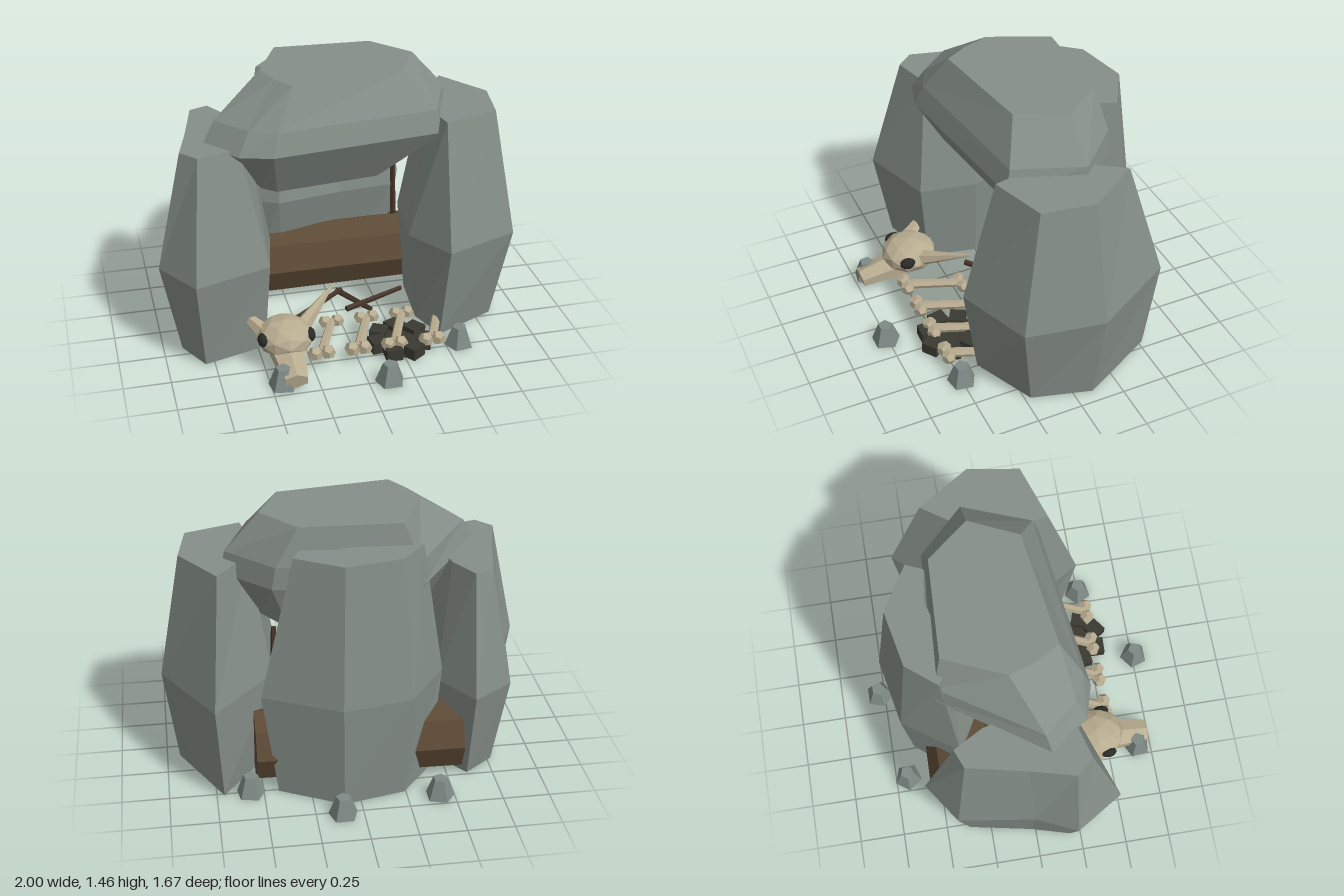
import * as THREE from 'three';

const mat = (name, color) => {
  const m = new THREE.MeshStandardMaterial({ color, flatShading: true });
  m.name = name;
  return m;
};

// Faceted solid lofted through horizontal rings: [height, [[x, z], ...]]
function loft(rings) {
  const pos = [];
  const loops = rings.map(([y, pts]) => pts.map(([x, z]) => new THREE.Vector3(x, y, z)));
  const area = loops[0].reduce((s, p, i, l) => {
    const q = l[(i + 1) % l.length];
    return s + p.x * q.z - q.x * p.z;
  }, 0);
  if (area > 0) loops.forEach(l => l.reverse());
  const tri = (...v) => v.forEach(p => pos.push(p.x, p.y, p.z));
  const n = loops[0].length;
  const centre = l => l.reduce((s, p) => s.add(p), new THREE.Vector3()).divideScalar(n);
  const low = loops[0], high = loops[loops.length - 1];
  const cLow = centre(low), cHigh = centre(high);
  for (let i = 0; i < n; i++) {
    const j = (i + 1) % n;
    for (let k = 0; k + 1 < loops.length; k++) {
      const a = loops[k], b = loops[k + 1];
      tri(a[i], a[j], b[j]);
      tri(a[i], b[j], b[i]);
    }
    tri(cHigh, high[i], high[j]);
    tri(cLow, low[j], low[i]);
  }
  const g = new THREE.BufferGeometry();
  g.setAttribute('position', new THREE.Float32BufferAttribute(pos, 3));
  g.computeVertexNormals();
  return g;
}

export function createModel() {
  const root = new THREE.Group();
  root.name = 'boulderDen';
  const stone = mat('stone', 0x858e88);
  const pebble = mat('pebble stone', 0x7e8a86);
  const wood = mat('log wood', 0x5c4a36);
  const twig = mat('twig wood', 0x46352a);
  const bone = mat('bone', 0xb8ac90);
  const ash = mat('charcoal', 0x3a3a31);
  const dark = mat('eye socket', 0x2a2a27);

  const add = (name, geo, m, p = [0, 0, 0], parent = root) => {
    const mesh = new THREE.Mesh(geo, m);
    mesh.name = name;
    mesh.position.set(...p);
    parent.add(mesh);
    return mesh;
  };
  // Tapered rod between two points
  const rod = (name, a, b, r0, r1, m, sides = 6, parent = root) => {
    const A = new THREE.Vector3(...a), B = new THREE.Vector3(...b);
    const d = B.clone().sub(A);
    const mesh = add(name, new THREE.CylinderGeometry(r1, r0, d.length(), sides), m,
      A.add(B).multiplyScalar(0.5).toArray(), parent);
    mesh.quaternion.setFromUnitVectors(new THREE.Vector3(0, 1, 0), d.normalize());
    return mesh;
  };

  // Large boulders forming the walls
  add('rightBoulder', loft([
    [0.01, [[-0.9, 0.19], [-0.8, 0.38], [-0.46, 0.28], [-0.4, 0], [-0.46, -0.3], [-0.61, -0.49], [-0.77, -0.37], [-0.84, -0.02]]],
    [0.52, [[-1, 0.2], [-0.84, 0.46], [-0.43, 0.32], [-0.37, 0], [-0.46, -0.34], [-0.62, -0.58], [-0.84, -0.43], [-0.9, -0.02]]],
    [1.165, [[-0.86, 0.19], [-0.78, 0.28], [-0.56, 0.22], [-0.48, 0], [-0.54, -0.24], [-0.63, -0.4], [-0.73, -0.36], [-0.8, -0.04]]]
  ]), stone);
  add('leftBoulder', loft([
    [0.01, [[0.93, -0.1], [0.84, 0.22], [0.5, 0.38], [0.42, 0.17], [0.45, -0.17], [0.71, -0.52]]],
    [0.55, [[1, -0.12], [0.925, 0.3], [0.52, 0.46], [0.36, 0.2], [0.41, -0.2], [0.74, -0.58]]],
    [1.23, [[0.875, -0.1], [0.83, 0.18], [0.53, 0.28], [0.5, 0.12], [0.52, -0.14], [0.69, -0.38]]]
  ]), stone);
  add('backBoulder', loft([
    [0.01, [[-0.24, -0.62], [0.09, -0.69], [0.42, -0.52], [0.36, -0.4], [0.1, -0.42], [-0.22, -0.38], [-0.42, -0.4]]],
    [0.6, [[-0.27, -0.66], [0.1, -0.73], [0.5, -0.53], [0.42, -0.34], [0.1, -0.31], [-0.27, -0.24], [-0.48, -0.36]]],
    [1.36, [[-0.22, -0.58], [0.08, -0.64], [0.32, -0.5], [0.28, -0.41], [0.1, -0.43], [-0.2, -0.35], [-0.35, -0.42]]]
  ]), stone);

  // Capstone
  add('roofBoulder', loft([
    [0.89, [[-0.46, 0.03], [-0.43, 0.13], [-0.36, 0.19], [0.2, 0.12], [0.46, -0.15], [0.33, -0.34], [-0.27, -0.36]]],
    [1.15, [[-0.73, 0.09], [-0.57, 0.29], [-0.4, 0.34], [0.53, 0.22], [0.66, -0.17], [0.42, -0.41], [-0.35, -0.46]]],
    [1.27, [[-0.66, 0.06], [-0.51, 0.24], [-0.37, 0.3], [0.5, 0.19], [0.64, -0.17], [0.4, -0.41], [-0.33, -0.45]]],
    [1.47, [[-0.39, -0.08], [-0.34, 0.07], [-0.27, 0.19], [0.34, 0.1], [0.46, -0.16], [0.28, -0.38], [-0.25, -0.4]]]
  ]), stone);

  // Fallen log and loose twigs
  rod('log', [-0.58, 0.21, -0.35], [0.53, 0.21, -0.34], 0.205, 0.195, wood, 8);
  [
    [[-0.27, 0.05, 0.12], [0.06, 0.07, -0.12]],
    [[0.05, 0.04, 0.05], [0.4, 0.07, -0.06]],
    [[0.05, 0.03, -0.18], [0.18, 0.05, 0.1]],
    [[0.43, 0.35, -0.36], [0.41, 0.9, -0.33]]
  ].forEach(([a, b]) => rod('twig', a, b, 0.018, 0.014, twig, 5));

  // Ring of small stones
  [[0.11, -0.78], [0.57, -0.52], [-0.42, -0.68], [0.57, 0.5], [0.11, 0.76], [-0.44, 0.67]].forEach(([x, z], i) => {
    add('pebble', new THREE.CylinderGeometry(0.04, 0.08, 0.11, 5), pebble, [x, 0.065, z]).rotation.y = i * 1.1;
  });

  // Horned skull with long snout
  const skull = new THREE.Group();
  skull.name = 'skull';
  skull.position.set(-0.38, 0, 0);
  root.add(skull);
  add('cranium', new THREE.IcosahedronGeometry(1, 1), bone, [0, 0.16, 0.43], skull).scale.set(0.155, 0.1, 0.16);
  rod('snout', [0, 0.11, 0.48], [0, 0.065, 0.73], 0.105, 0.068, bone, 6, skull).scale.z = 0.65;
  for (const s of [-1, 1]) {
    add('eyeSocket', new THREE.IcosahedronGeometry(0.038, 1), dark, [s * 0.125, 0.18, 0.48], skull)
      .scale.set(0.8, 0.95, 1.25);
  }
  rod('rightHorn', [-0.1, 0.17, 0.4], [-0.24, 0.255, 0.2], 0.05, 0.008, bone, 6, skull);
  rod('leftHorn', [0.09, 0.17, 0.4], [0.33, 0.29, 0.17], 0.05, 0.004, bone, 6, skull);

  // Row of bones, each with two knuckles per end
  [-0.2, 0, 0.2, 0.41].forEach(x => {
    const b = new THREE.Group();
    b.name = 'legBone';
    root.add(b);
    rod('shaft', [x, 0.08, 0.52], [x + 0.12, 0.085, 0.23], 0.027, 0.024, bone, 6, b);
    for (const s of [-0.034, 0.034]) {
      add('knuckle', new THREE.DodecahedronGeometry(0.042), bone, [x + s, 0.08, 0.52], b);
      add('knuckle', new THREE.DodecahedronGeometry(0.038), bone, [x + 0.12 + s, 0.085, 0.23], b);
    }
  });

  // Burnt-out fire
  const fire = new THREE.Group();
  fire.name = 'firePit';
  fire.position.set(0.25, 0.045, 0.435);
  root.add(fire);
  add('ashBed', new THREE.CylinderGeometry(0.12, 0.13, 0.04, 8), ash, [0, -0.015, 0], fire);
  for (let i = 0; i < 7; i++) {
    const a = i * Math.PI * 2 / 7 + 0.3;
    add('charredBlock', new THREE.BoxGeometry(0.09, 0.065, 0.09), ash,
      [Math.cos(a) * 0.125, 0, Math.sin(a) * 0.125], fire).rotation.y = -a + (i % 3) * 0.25;
  }
  return root;
}
